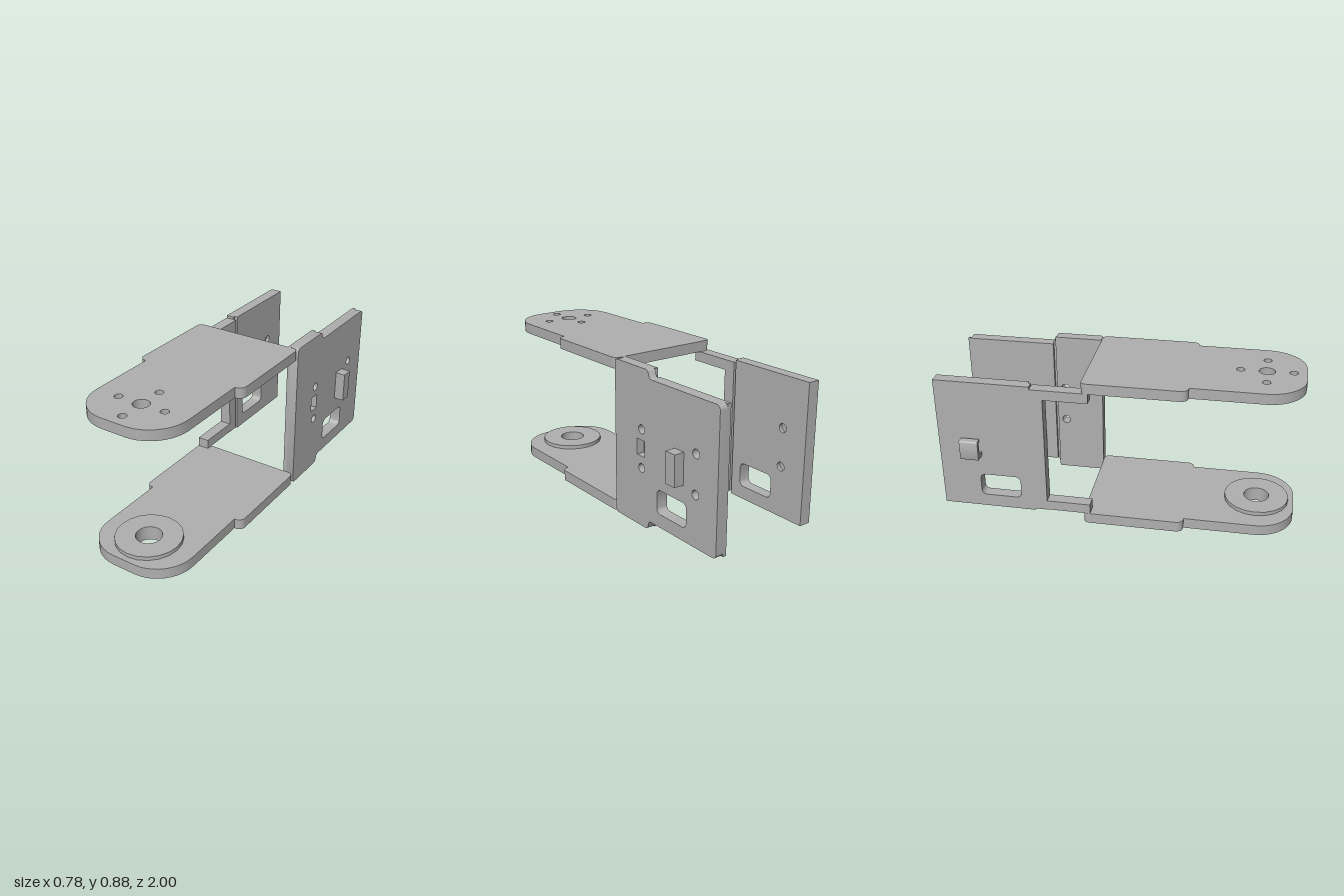
import * as THREE from 'three';
import { toCreasedNormals } from 'three/addons/utils/BufferGeometryUtils.js';

const K = 0.5523; // circular corner factor

// Closed outline from [a, b, cornerRadius] points
function outline(points, Type = THREE.Shape) {
  const s = new Type();
  const n = points.length;
  const toward = (p, q, d) => {
    const l = Math.hypot(q[0] - p[0], q[1] - p[1]);
    return [p[0] + (q[0] - p[0]) * d / l, p[1] + (q[1] - p[1]) * d / l];
  };
  points.forEach((p, i) => {
    const prev = points[(i + n - 1) % n], next = points[(i + 1) % n], r = p[2] || 0;
    const a = toward(p, prev, r), b = toward(p, next, r);
    if (i === 0) s.moveTo(...a); else s.lineTo(...a);
    if (r) s.bezierCurveTo(...toward(p, prev, r * (1 - K)), ...toward(p, next, r * (1 - K)), ...b);
  });
  s.closePath();
  return s;
}

const rect = (a0, a1, b0, b1, r = 0, Type = THREE.Shape) =>
  outline([[a0, b0, r], [a1, b0, r], [a1, b1, r], [a0, b1, r]], Type);

const circle = (a, b, r) => new THREE.Path().absarc(a, b, r, 0, Math.PI * 2, true);

function extrude(shape, depth, holes = []) {
  shape.holes.push(...holes);
  return new THREE.ExtrudeGeometry(shape, { depth, bevelEnabled: false, curveSegments: 10 });
}

export function createModel() {
  const model = new THREE.Group();
  model.name = 'servoBracket';
  const grey = new THREE.MeshStandardMaterial({ color: 0xb0b0b0 });
  grey.name = 'grey';

  const add = (parent, name, geometry) => {
    const mesh = new THREE.Mesh(toCreasedNormals(geometry, 0.5), grey);
    mesh.name = name;
    parent.add(mesh);
    return mesh;
  };
  // Horizontal plate drawn in (x, z), between two heights
  const flat = (parent, name, shape, y0, y1, holes) =>
    add(parent, name, extrude(shape, y1 - y0, holes).rotateX(Math.PI / 2).translate(0, y1, 0));
  // Upright plate drawn in (z, y), between two x positions
  const upright = (parent, name, shape, x0, x1, holes) =>
    add(parent, name, extrude(shape, x1 - x0, holes).rotateY(-Math.PI / 2).translate(x1, 0, 0));
  const group = (name) => {
    const g = new THREE.Group();
    g.name = name;
    model.add(g);
    return g;
  };

  // Top and bottom plates with rounded noses
  const hub = 0.785;
  const plateShape = () => outline([
    [-0.33, -0.18, 0.03], [0.33, -0.18, 0.03], [0.33, 0.39, 0.04], [0.285, 0.39],
    [0.285, 1, 0.215], [-0.285, 1, 0.215], [-0.285, 0.39], [-0.33, 0.39, 0.04],
  ]);
  const plateHoles = (r) => [
    circle(0, hub, r),
    ...[[0.143, 0], [-0.143, 0], [0, 0.143], [0, -0.143]].map(([x, z]) => circle(x, hub + z, 0.023)),
  ];
  flat(model, 'topPlate', plateShape(), 0.82, 0.88, plateHoles(0.045));
  flat(model, 'bottomPlate', plateShape(), 0, 0.062, plateHoles(0.073));

  // Raised ring on the bottom plate
  const ring = new THREE.Shape().absarc(0, hub, 0.185, 0, Math.PI * 2, false);
  flat(model, 'bearingRing', ring, 0.062, 0.085, [circle(0, hub, 0.073)]);

  // Openings shared by the side panels
  const windowHole = () => rect(-0.775, -0.54, 0.125, 0.26, 0.03, THREE.Path);
  const screwHoles = (z) => [circle(z, 0.55, 0.025), circle(z, 0.335, 0.025)];

  // Left panel: rounded outer skin over a grooved inner skin
  const left = group('leftPanel');
  upright(left, 'leftOuterSkin', outline([
    [-1, 0.05, 0.025], [-0.475, 0.05, 0.015], [-0.46, 0, 0.015], [-0.18, 0, 0.02],
    [-0.18, 0.88, 0.02], [-0.46, 0.88, 0.015], [-0.475, 0.835, 0.015], [-1, 0.835, 0.025],
  ]), 0.285, 0.332, [
    windowHole(), ...screwHoles(-0.84), ...screwHoles(-0.41),
    rect(-0.435, -0.37, 0.4, 0.49, 0, THREE.Path),
  ]);
  upright(left, 'leftInnerSkinBack', rect(-1, -0.475, 0.05, 0.835), 0.265, 0.285,
    [windowHole(), ...screwHoles(-0.84)]);
  upright(left, 'leftInnerSkinFront', rect(-0.46, -0.18, 0, 0.88), 0.265, 0.285, screwHoles(-0.41));
  upright(left, 'leftTab', rect(-0.75, -0.68, 0.355, 0.53), 0.332, 0.39);

  // Right panel: plain outside, blind screw holes and a groove inside
  const right = group('rightPanel');
  upright(right, 'rightOuterSkin', outline([
    [-1, 0.05], [-0.46, 0.05], [-0.46, 0.06], [-0.39, 0.06],
    [-0.39, 0.82], [-0.46, 0.82], [-0.46, 0.835], [-1, 0.835],
  ]), -0.328, -0.28, [windowHole()]);
  upright(right, 'rightInnerSkinBack', rect(-1, -0.475, 0.05, 0.835), -0.28, -0.26,
    [windowHole(), ...screwHoles(-0.84)]);
  upright(right, 'rightInnerSkinFront', rect(-0.46, -0.39, 0.06, 0.82), -0.28, -0.26);

  // Arms reaching from the right panel to the plates
  for (const [name, y] of [['lowerArm', 0.062], ['upperArm', 0.762]]) {
    upright(right, name, rect(-0.39, -0.14, y, y + 0.058), -0.328, -0.26);
  }

  // Cable hook, drawn in (x, y)
  const hook = outline([
    [-0.328, 0.385], [-0.328, 0.41], [-0.365, 0.41], [-0.365, 0.486], [-0.35, 0.486],
    [-0.35, 0.5], [-0.39, 0.5, 0.008], [-0.39, 0.385, 0.004],
  ]);
  add(right, 'cableHook', extrude(hook, 0.105).translate(0, 0, -0.86));

  return model;
}
